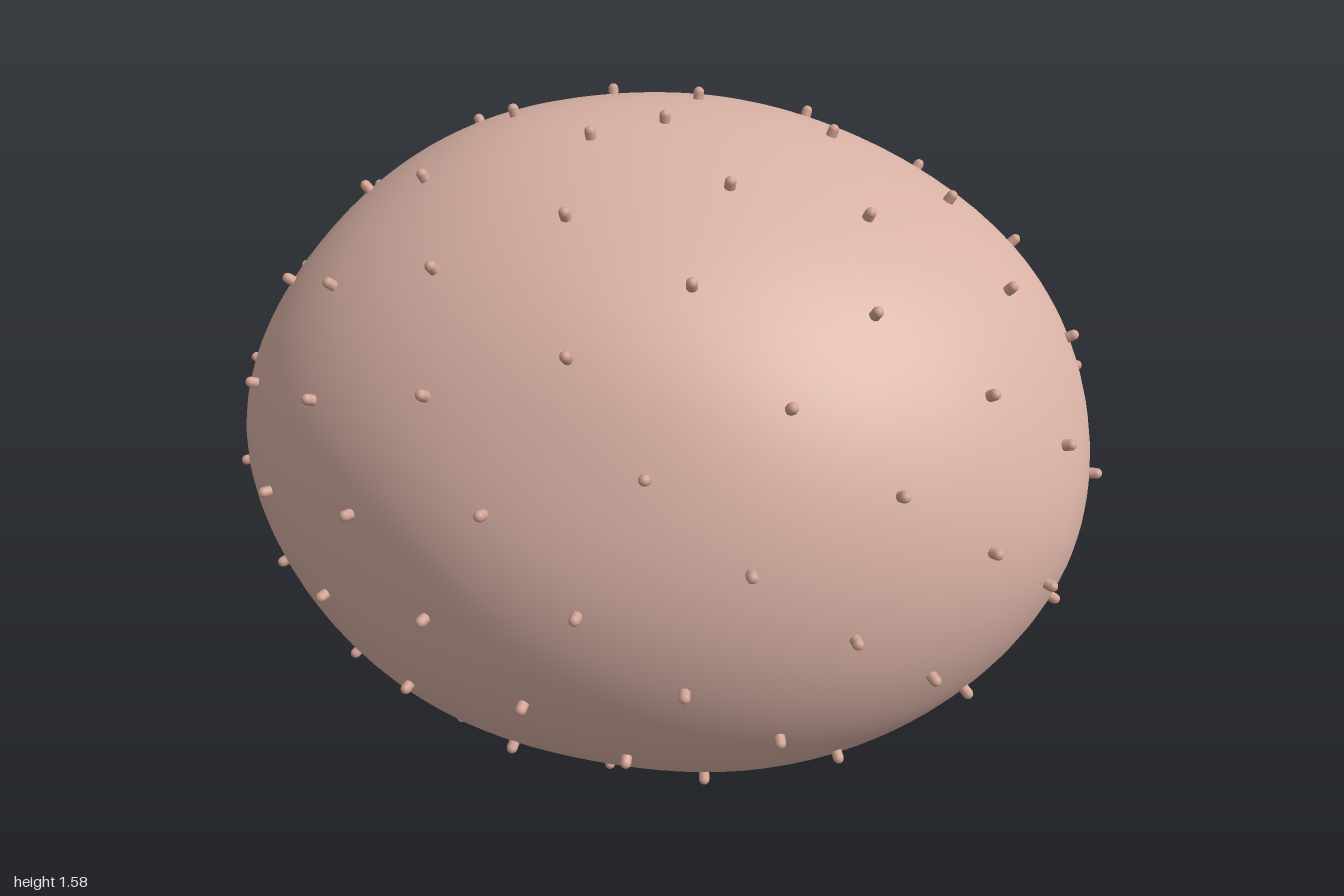
import * as THREE from 'three';
import { mergeVertices } from 'three/addons/utils/BufferGeometryUtils.js';

const RADII = new THREE.Vector3(0.98, 0.7625, 0.84);
const CENTRE_Y = 0.79;

// Gentle swellings and dents: direction on the unit sphere, then height
const LUMPS = [
  [-0.37, 0.93, 0, 0.02], [0.75, 0.66, 0, 0.018], [0.42, 0.9, 0, -0.012],
  [-0.86, 0.5, 0, -0.012], [-1, 0, -0.1, 0.016], [-0.9, -0.4, 0, 0.008],
  [-0.95, 0, 0.33, 0.012], [-0.9, 0, -0.43, -0.014], [-0.49, 0, 0.86, -0.02],
  [-0.43, 0, -0.9, 0.014], [0.66, 0, -0.76, 0.022], [0.33, 0, -0.94, -0.014],
  [0.94, 0, -0.29, -0.012], [0.93, 0, 0.39, 0.01], [0.8, -0.6, 0, -0.01],
  [0, 0.7, 0.72, 0.016], [0, 0.48, 0.87, -0.016], [0, -0.68, 0.7, -0.014],
  [0, 0.42, -0.9, 0.014], [0, 0.8, -0.6, 0.012],
].map(([x, y, z, height]) => ({ dir: new THREE.Vector3(x, y, z).normalize(), height }));

// Point on the lumpy body in a given unit direction
function surfacePoint(dir) {
  let r = 1;
  for (const lump of LUMPS) r += lump.height * Math.exp(-lump.dir.distanceToSquared(dir) / 0.08);
  return dir.clone().multiply(RADII).multiplyScalar(r);
}

function bodyGeometry() {
  let geo = new THREE.SphereGeometry(1, 96, 64);
  geo.deleteAttribute('uv');
  geo.deleteAttribute('normal');
  geo = mergeVertices(geo, 1e-5);
  const pos = geo.attributes.position;
  const v = new THREE.Vector3();
  for (let i = 0; i < pos.count; i++) {
    const p = surfacePoint(v.fromBufferAttribute(pos, i).normalize());
    pos.setXYZ(i, p.x, p.y, p.z);
  }
  geo.computeVertexNormals();
  return geo;
}

export function createModel() {
  const skin = new THREE.MeshStandardMaterial({ color: 0xd9b1a5 });
  skin.name = 'pale pink skin';
  const nub = new THREE.MeshStandardMaterial({ color: 0xd2a393 });
  nub.name = 'dusky pink nub';

  const model = new THREE.Group();
  model.name = 'lumpyCell';

  const body = new THREE.Mesh(bodyGeometry(), skin);
  body.name = 'body';
  body.position.y = CENTRE_Y;
  model.add(body);

  // Short rounded nubs spread evenly in a golden-angle spiral, pole to pole
  const nubs = new THREE.Group();
  nubs.name = 'surfaceNubs';
  nubs.position.y = CENTRE_Y;
  const nubGeo = new THREE.CapsuleGeometry(0.012, 0.03, 4, 10);
  const up = new THREE.Vector3(0, 1, 0);
  const golden = Math.PI * (3 - Math.sqrt(5));
  const count = 120;
  for (let i = 0; i < count; i++) {
    const y = 1 - (2 * i) / (count - 1);
    const ring = Math.sqrt(Math.max(0, 1 - y * y));
    const dir = new THREE.Vector3(ring * Math.cos(i * golden), y, ring * Math.sin(i * golden));
    const mesh = new THREE.Mesh(nubGeo, nub);
    mesh.name = 'nub';
    mesh.position.copy(surfacePoint(dir));
    mesh.quaternion.setFromUnitVectors(up, dir.clone().divide(RADII).normalize());
    nubs.add(mesh);
  }
  model.add(nubs);
  return model;
}
